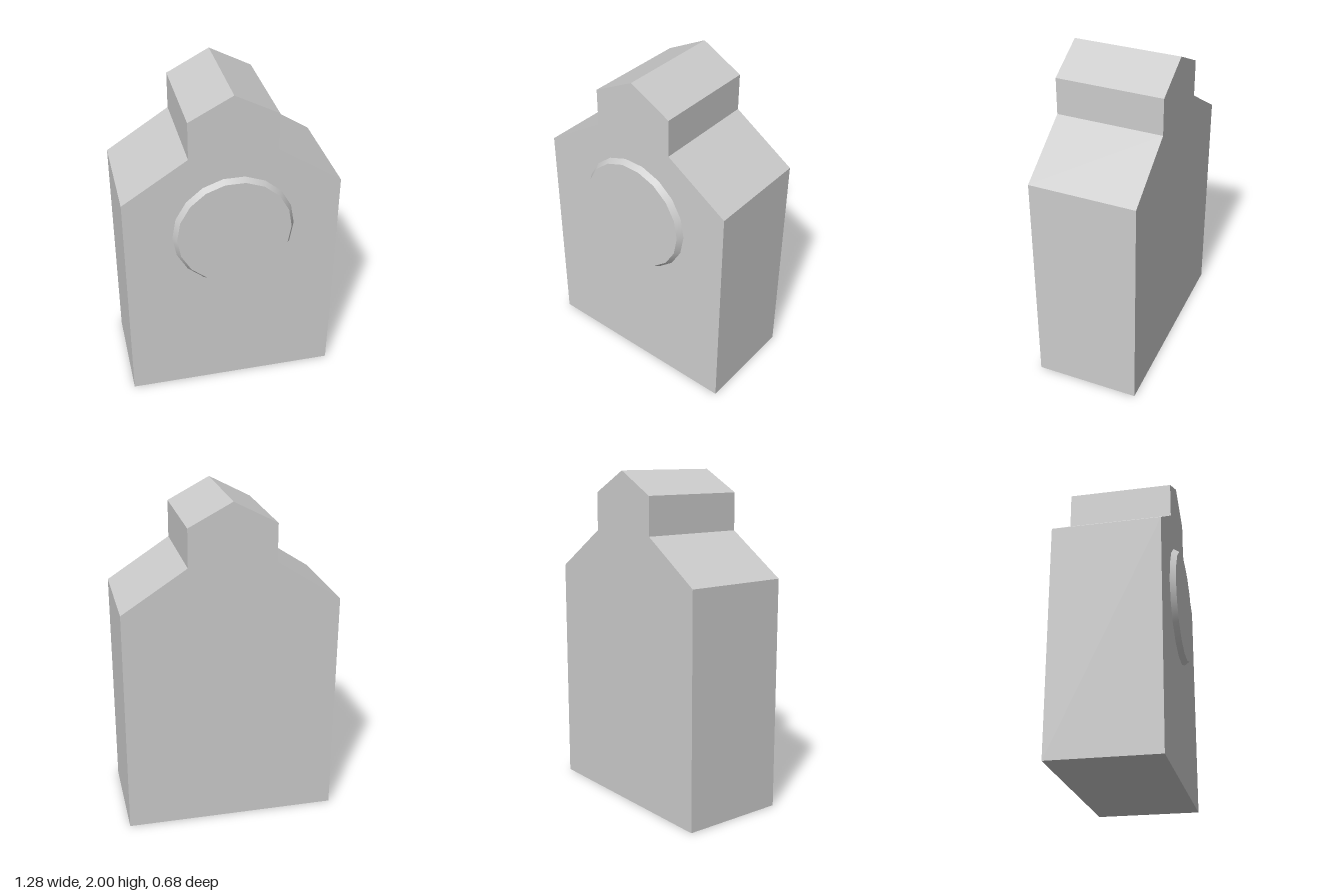
import * as THREE from 'three';

export function createModel() {
  const group = new THREE.Group();
  const material = new THREE.MeshStandardMaterial({ color: 0xcccccc });

  // Gabled slab: mirrored outline with shoulders, neck and ridge
  const half = [[0.642, 0], [0.642, 1.39], [0.257, 1.64], [0.257, 1.866]];
  const mirrored = half.map(([x, y]) => [-x, y]).reverse();
  const outline = [...half, [0, 2], ...mirrored].map(([x, y]) => new THREE.Vector2(x, y));
  const back = -0.338, front = 0.304;
  const bodyGeometry = new THREE.ExtrudeGeometry(new THREE.Shape(outline), {
    depth: front - back, bevelEnabled: false,
  });
  bodyGeometry.translate(0, 0, back);
  const body = new THREE.Mesh(bodyGeometry, material);
  body.name = 'gabledBody';
  group.add(body);

  // Tapered round face plate, 18-sided with a corner pointing to +x
  const thickness = 0.034;
  const plateGeometry = new THREE.CylinderGeometry(0.342, 0.364, thickness, 18, 1, false, Math.PI / 2);
  plateGeometry.rotateX(Math.PI / 2);
  const plate = new THREE.Mesh(plateGeometry, material);
  plate.name = 'roundFacePlate';
  plate.position.set(0.004, 1.131, front + thickness / 2);
  group.add(plate);

  return group;
}
